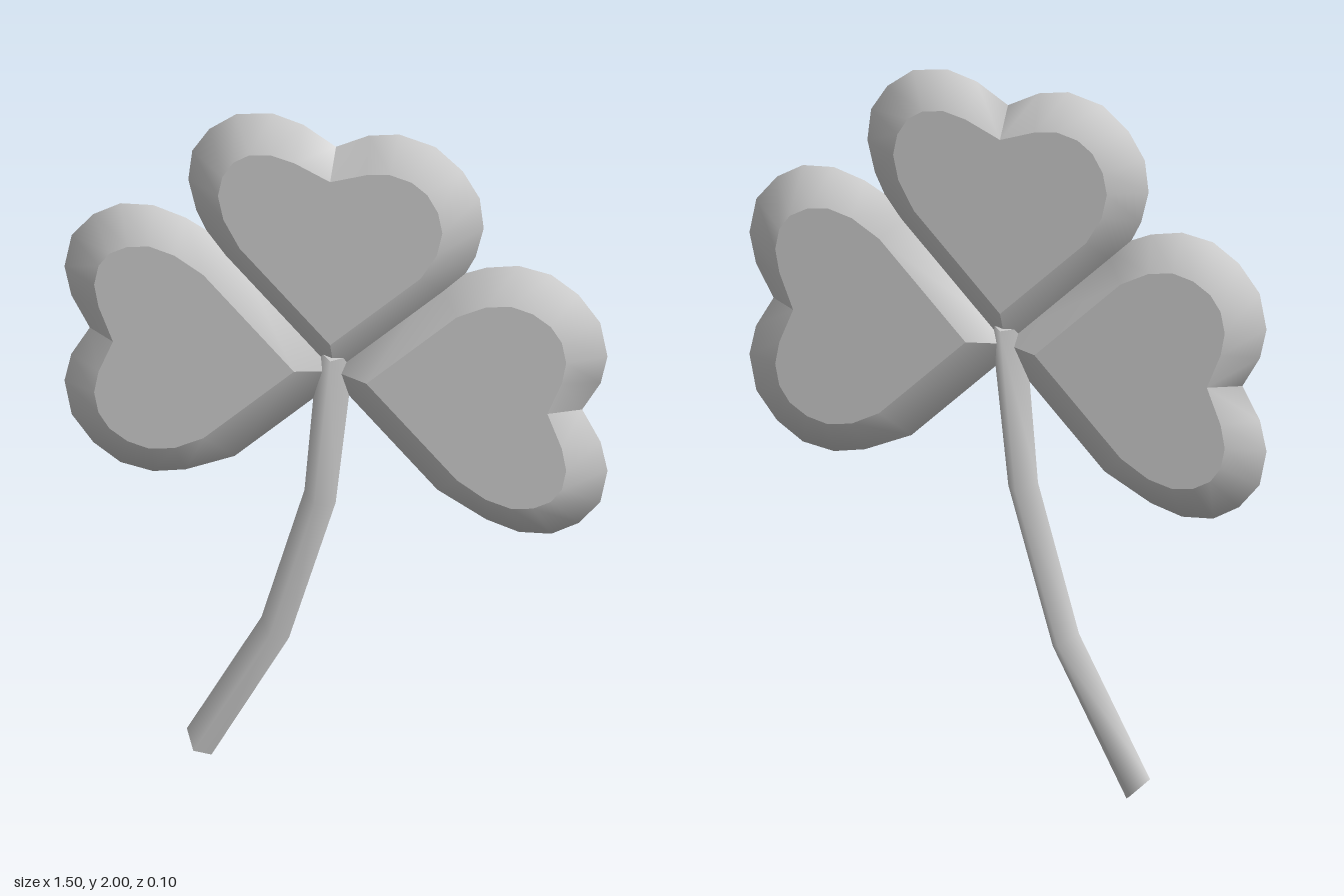
import * as THREE from 'three';

const material = new THREE.MeshStandardMaterial({ color: 0xcccccc });

// Smooth surface through rows of [x, y, z] points
function surface(rows, flip = false) {
  const n = rows[0].length, index = [];
  for (let i = 0; i < rows.length - 1; i++) {
    for (let j = 0; j < n - 1; j++) {
      const a = i * n + j, b = a + n, c = b + 1, d = a + 1;
      index.push(...(flip ? [a, c, b, a, d, c] : [a, b, c, a, c, d]));
    }
  }
  const geometry = new THREE.BufferGeometry();
  geometry.setAttribute('position', new THREE.Float32BufferAttribute(rows.flat(2), 3));
  geometry.setIndex(index);
  geometry.computeVertexNormals();
  return geometry;
}

// Flat fan from a centre to a row of points
const fan = (centre, row, flip) => surface([row.map(() => centre), row], flip);

function add(group, name, geometry) {
  const mesh = new THREE.Mesh(geometry, material);
  mesh.name = name;
  group.add(mesh);
}

// Half heart outlines, from tip to notch: flat face and sharp rim
const T = 0.05;
const face = [[0, 0.1], [0.25, 0.35], [0.295, 0.43], [0.31, 0.5], [0.298, 0.56],
  [0.268, 0.61], [0.225, 0.64], [0.165, 0.652], [0.1, 0.64], [0, 0.6]];
const rim = [[0, -0.04], [0.32, 0.28], [0.386, 0.415], [0.408, 0.505], [0.397, 0.595],
  [0.35, 0.67], [0.275, 0.73], [0.175, 0.75], [0.09, 0.731], [0, 0.68]];

function createLeaf(name, angle) {
  const leaf = new THREE.Group();
  leaf.name = name;
  for (const s of [1, -1]) {
    const row = (points, z) => points.map(([x, y]) => [s * x, y, z]);
    const front = row(face, T), back = row(face, -T);
    add(leaf, 'leafBevel', surface([front, row(rim, 0), back], s < 0));
    add(leaf, 'leafFrontFace', fan([0, 0.45, T], front, s < 0));
    add(leaf, 'leafBackFace', fan([0, 0.45, -T], back, s > 0));
  }
  leaf.position.y = 1.25;
  leaf.rotation.z = angle;
  return leaf;
}

// Four-sided stem: centre x, y and the half-width vector of each section
function createStem() {
  const stem = new THREE.Group();
  stem.name = 'stem';
  const sections = [[0, 1.3, 0.05, 0], [-0.044, 0.85, 0.043, -0.012],
    [-0.168, 0.425, 0.038, -0.025], [-0.378, 0.036, 0.034, -0.034]];
  const rows = sections.map(([x, y, u, v]) => [
    [x + u, y + v, 0], [x, y, -T], [x - u, y - v, 0], [x, y, T], [x + u, y + v, 0]]);
  add(stem, 'stemSides', surface(rows));
  const [top, bottom] = [sections[0], sections[3]];
  add(stem, 'stemTop', fan([top[0], top[1], 0], rows[0], false));
  add(stem, 'stemEnd', fan([bottom[0], bottom[1], 0], rows[3], true));
  return stem;
}

export function createModel() {
  const model = new THREE.Group();
  model.name = 'threeLeafClover';
  model.add(
    createLeaf('topLeaf', 0),
    createLeaf('leftLeaf', -Math.PI / 2),
    createLeaf('rightLeaf', Math.PI / 2),
    createStem(),
  );
  return model;
}
